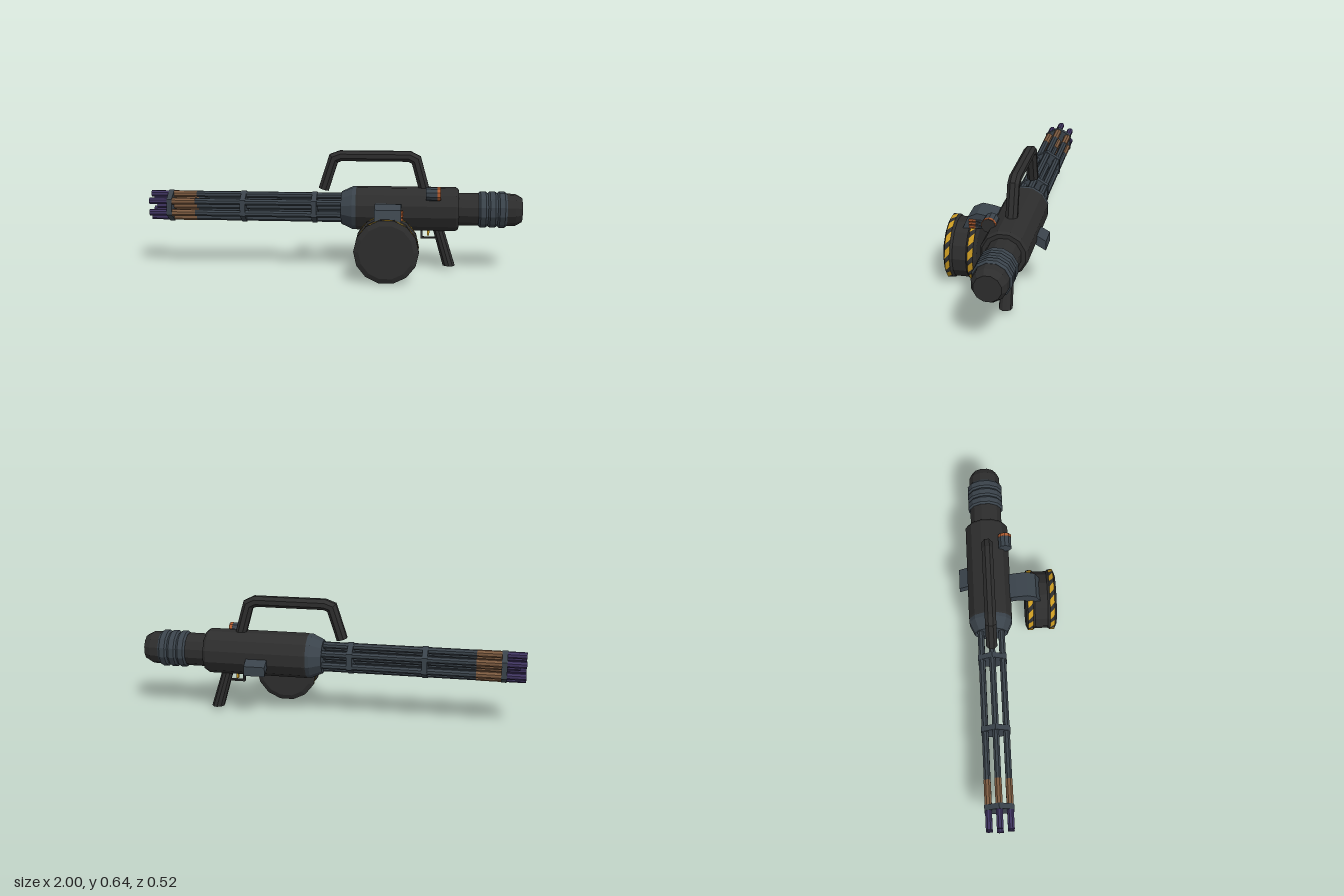
import * as THREE from 'three';

const mat = (name, color) => {
  const m = new THREE.MeshStandardMaterial({ color });
  m.name = name;
  return m;
};

export function createModel() {
  const model = new THREE.Group();
  const black = mat('black', 0x2d2d2d);
  const slate = mat('slate', 0x3a434b);
  const purple = mat('purple', 0x3f3460);
  const bronze = mat('bronze', 0x7c5a40);
  const yellow = mat('yellow', 0xc89820);
  const orange = mat('orange', 0xb05c30);
  const AY = 0.33, AZ = -0.1; // main axis of the gun

  const flat = (g) => {
    const f = g.index ? g.toNonIndexed() : g;
    f.computeVertexNormals();
    return f;
  };
  const add = (name, geometry, material, x = 0, y = 0, z = 0, parent = model) => {
    const m = new THREE.Mesh(geometry, material);
    m.name = name;
    m.position.set(x, y, z);
    parent.add(m);
    return m;
  };
  // Faceted solid of revolution from [position along axis, radius] pairs, closed at both ends
  const turned = (profile, sides, start = Math.PI / sides) => {
    const pts = [[profile[0][0], 0], ...profile, [profile[profile.length - 1][0], 0]];
    return new THREE.LatheGeometry(pts.map(([t, r]) => new THREE.Vector2(r, t)), sides, start);
  };
  const alongX = (profile, sides, start) => flat(turned(profile, sides, start).rotateZ(-Math.PI / 2));
  const alongZ = (profile, sides, start) => flat(turned(profile, sides, start).rotateX(Math.PI / 2));

  // Prism from a [z, y] outline, running along x
  const sidePrism = (outline, x0, x1) => {
    const s = new THREE.Shape(outline.map(([z, y]) => new THREE.Vector2(-z, y)));
    const g = new THREE.ExtrudeGeometry(s, { depth: x1 - x0, bevelEnabled: false });
    return g.rotateY(Math.PI / 2).translate(x0, 0, 0);
  };

  // Housing and rear section
  add('housing', alongX([[0.115, 0.115], [0.13, 0.118], [0.65, 0.118], [0.665, 0.108]], 12), black, 0, AY, AZ);
  add('frontCollar', alongX([[0.04, 0.088], [0.1, 0.116], [0.12, 0.116]], 12), slate, 0, AY, AZ);
  add('rearNeck', alongX([[0.65, 0.087], [0.775, 0.087]], 12), black, 0, AY, AZ);
  for (let i = 0; i < 3; i++) {
    const x = 0.77 + i * 0.05;
    add('rearRing', alongX([[x, 0.088], [x + 0.01, 0.097], [x + 0.038, 0.097], [x + 0.05, 0.088]], 12),
      slate, 0, AY, AZ);
  }
  add('rearCap', alongX([[0.915, 0.087], [0.965, 0.085], [1, 0.066]], 12), black, 0, AY, AZ);

  // Six barrels around a central shaft, each in three coloured lengths
  const barrels = new THREE.Group();
  barrels.name = 'barrels';
  barrels.position.set(0, AY, AZ);
  model.add(barrels);
  const barrel = (y, z, tip) => {
    add('barrelTip', alongX([[tip, 0.018], [-0.88, 0.018]], 8), purple, 0, y, z, barrels);
    add('barrelHeatedPart', alongX([[-0.88, 0.019], [-0.75, 0.019]], 8), bronze, 0, y, z, barrels);
    add('barrelTube', alongX([[-0.75, 0.018], [0.06, 0.018]], 8), slate, 0, y, z, barrels);
  };
  for (let i = 0; i < 6; i++) {
    const a = Math.PI / 2 + (i * Math.PI) / 3;
    barrel(0.063 * Math.sin(a), 0.063 * Math.cos(a), -1);
  }
  barrel(0, 0, -0.97);
  for (const x of [-0.89, -0.49, -0.105]) {
    add('barrelClamp', alongX([[x - 0.014, 0.086], [x + 0.014, 0.086]], 6), slate, 0, 0, 0, barrels);
  }

  // Carrying handle
  const handlePath = new THREE.CurvePath();
  const hp = [[-0.057, 0.43], [-0.003, 0.597], [0.035, 0.611], [0.4, 0.611], [0.438, 0.592], [0.5, 0.37]]
    .map(([x, y]) => new THREE.Vector3(x, y, AZ));
  // Cross-sections of the handle joined with mitred corners
  const rings = hp.map((p, i) => {
    const d0 = hp[Math.max(i, 1)].clone().sub(hp[Math.max(i, 1) - 1]).normalize();
    const j = Math.min(i, hp.length - 2);
    const d1 = hp[j + 1].clone().sub(hp[j]).normalize();
    const t = d0.clone().add(d1).normalize();
    const k = 0.03 / Math.max(0.5, t.dot(d0));
    return Array.from({ length: 8 }, (_, s) => {
      const a = ((s + 0.5) * Math.PI) / 4;
      return [p.x - t.y * k * Math.cos(a), p.y + t.x * k * Math.cos(a), p.z + 0.031 * Math.sin(a)];
    });
  });
  const hv = [];
  const tri = (...c) => c.forEach((p) => hv.push(...p));
  for (let i = 0; i < rings.length - 1; i++) {
    for (let s = 0; s < 8; s++) {
      const n = (s + 1) % 8, A = rings[i], B = rings[i + 1];
      tri(A[s], A[n], B[n]);
      tri(A[s], B[n], B[s]);
    }
  }
  for (let s = 1; s < 7; s++) {
    const A = rings[0], B = rings[rings.length - 1];
    tri(A[0], A[s + 1], A[s]);
    tri(B[0], B[s], B[s + 1]);
  }
  const handle = new THREE.BufferGeometry();
  handle.setAttribute('position', new THREE.Float32BufferAttribute(hv, 3));
  add('carryHandle', flat(handle), black);

  // Rear grip: a cylinder slanted by shearing
  const grip = new THREE.CylinderGeometry(0.03, 0.034, 0.235, 10);
  const gp = grip.attributes.position;
  for (let i = 0; i < gp.count; i++) gp.setX(i, gp.getX(i) - gp.getY(i) * 0.3);
  add('grip', flat(grip), black, 0.585, 0.139, AZ);

  // Trigger and guard
  add('guardFront', new THREE.BoxGeometry(0.01, 0.06, 0.02), black, 0.472, 0.2, AZ);
  add('guardBottom', new THREE.BoxGeometry(0.1, 0.008, 0.02), black, 0.517, 0.172, AZ);
  add('trigger', new THREE.BoxGeometry(0.012, 0.04, 0.012), yellow, 0.507, 0.203, AZ);

  // Sight lamp on the upper side
  add('sightBody', alongX([[0.49, 0.036], [0.55, 0.036]], 10), slate, 0, 0.425, -0.005);
  add('sightBand', alongX([[0.55, 0.037], [0.565, 0.037]], 10), orange, 0, 0.425, -0.005);
  add('sightEnd', alongX([[0.563, 0.035], [0.568, 0.035]], 10), black, 0, 0.425, -0.005);

  // Ammunition drum with two flanged rims
  const drum = new THREE.Group();
  drum.name = 'drum';
  drum.position.set(0.29, 0.165, 0);
  model.add(drum);
  const N = 14, R = 0.1665;
  add('drumBody', alongZ([[0.093, 0.14], [0.105, R], [0.133, R], [0.143, 0.157], [0.213, 0.157],
    [0.225, R], [0.25, R], [0.262, 0.14]], N), black, 0, 0, 0, drum);
  // Slanted hazard stripes, one per facet of each rim
  const stripes = (z0, z1) => {
    const v = [];
    const at = (i, t, z) => {
      const a = ((i + 0.5) * 2 * Math.PI) / N, b = ((i + 1.5) * 2 * Math.PI) / N, r = R + 0.001;
      return [r * (Math.sin(a) * (1 - t) + Math.sin(b) * t), r * (Math.cos(a) * (1 - t) + Math.cos(b) * t), z];
    };
    for (let i = 0; i < N; i++) {
      const a = at(i, 0.02, z0), b = at(i, 0.4, z1), c = at(i, 0.98, z1), d = at(i, 0.6, z0);
      v.push(...a, ...b, ...c, ...a, ...c, ...d);
    }
    const g = new THREE.BufferGeometry();
    g.setAttribute('position', new THREE.Float32BufferAttribute(v, 3));
    return flat(g);
  };
  add('rearRimStripes', stripes(0.106, 0.133), yellow, 0, 0, 0, drum);
  add('frontRimStripes', stripes(0.225, 0.25), yellow, 0, 0, 0, drum);

  // Feed chute from drum to housing
  add('feedChute', sidePrism([[0.175, 0.302], [0.15, 0.363], [0.103, 0.387], [0.045, 0.379], [-0.01, 0.365],
    [-0.01, 0.31], [0.05, 0.325], [0.085, 0.325], [0.105, 0.302]], 0.225, 0.362), slate);

  // Cartridges at the side of the chute
  [0.349, 0.332, 0.314].forEach((y) => {
    add('cartridgeCase', alongZ([[0.108, 0.007], [0.142, 0.007]], 6), orange, 0.367, y, 0);
    add('cartridgeTip', alongZ([[0.07, 0.003], [0.085, 0.006], [0.108, 0.006]], 6), slate, 0.367, y, 0);
  });

  // Ejection chute on the far side
  add('ejectionChute', sidePrism([[-0.19, 0.342], [-0.19, 0.292], [-0.26, 0.253], [-0.26, 0.303]], 0.32, 0.43), slate);

  return model;
}
